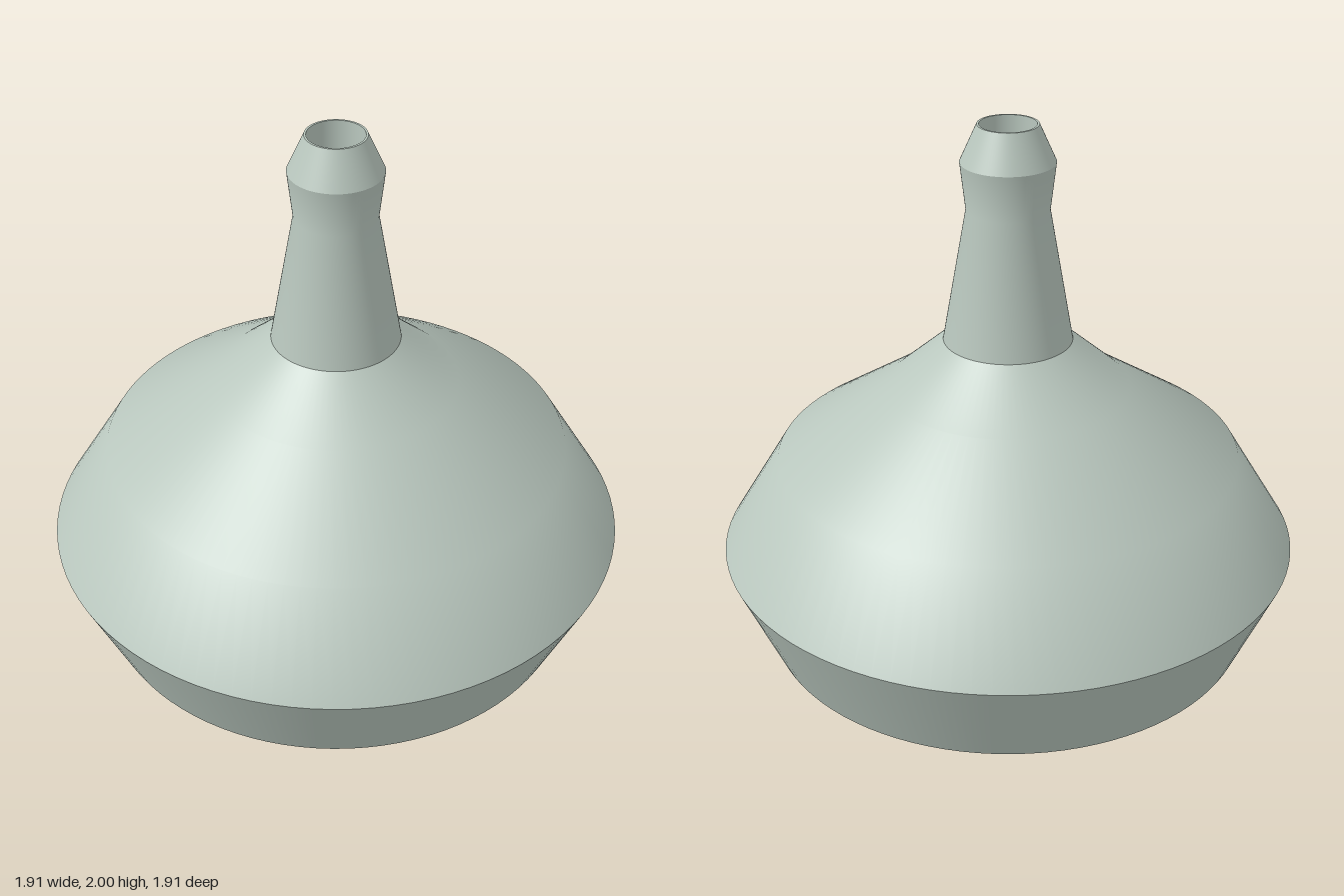
import * as THREE from 'three';

export function createModel() {
  const model = new THREE.Group();
  model.name = 'flask';

  const glaze = new THREE.MeshStandardMaterial({ color: 0xb9c7be });
  glaze.name = 'pale sage glaze';

  // Each turned section is smooth inside itself and creased against its neighbours.
  const turn = (name, profile) => {
    const points = profile.map(([r, y]) => new THREE.Vector2(r, y));
    const mesh = new THREE.Mesh(new THREE.LatheGeometry(points, 96), glaze);
    mesh.name = name;
    model.add(mesh);
  };

  // Rounded underside and belly
  turn('base', [[0, 0], [0.53, 0.05], [0.815, 0.24]]);
  turn('lowerBelly', [[0.815, 0.24], [0.957, 0.565]]);
  turn('shoulder', [[0.957, 0.565], [0.765, 0.88], [0.4, 1.12], [0.21, 1.285]]);

  // Tapered neck with a bevelled lip
  turn('neck', [[0.21, 1.285], [0.133, 1.725], [0.151, 1.88]]);
  turn('lip', [[0.151, 1.88], [0.097, 2]]);
  turn('rim', [[0.097, 2], [0.09, 2]]);

  // Hollow inside of the neck
  turn('boreWall', [[0.09, 2], [0.09, 1.3]]);
  turn('boreFloor', [[0.09, 1.3], [0, 1.3]]);

  return model;
}
